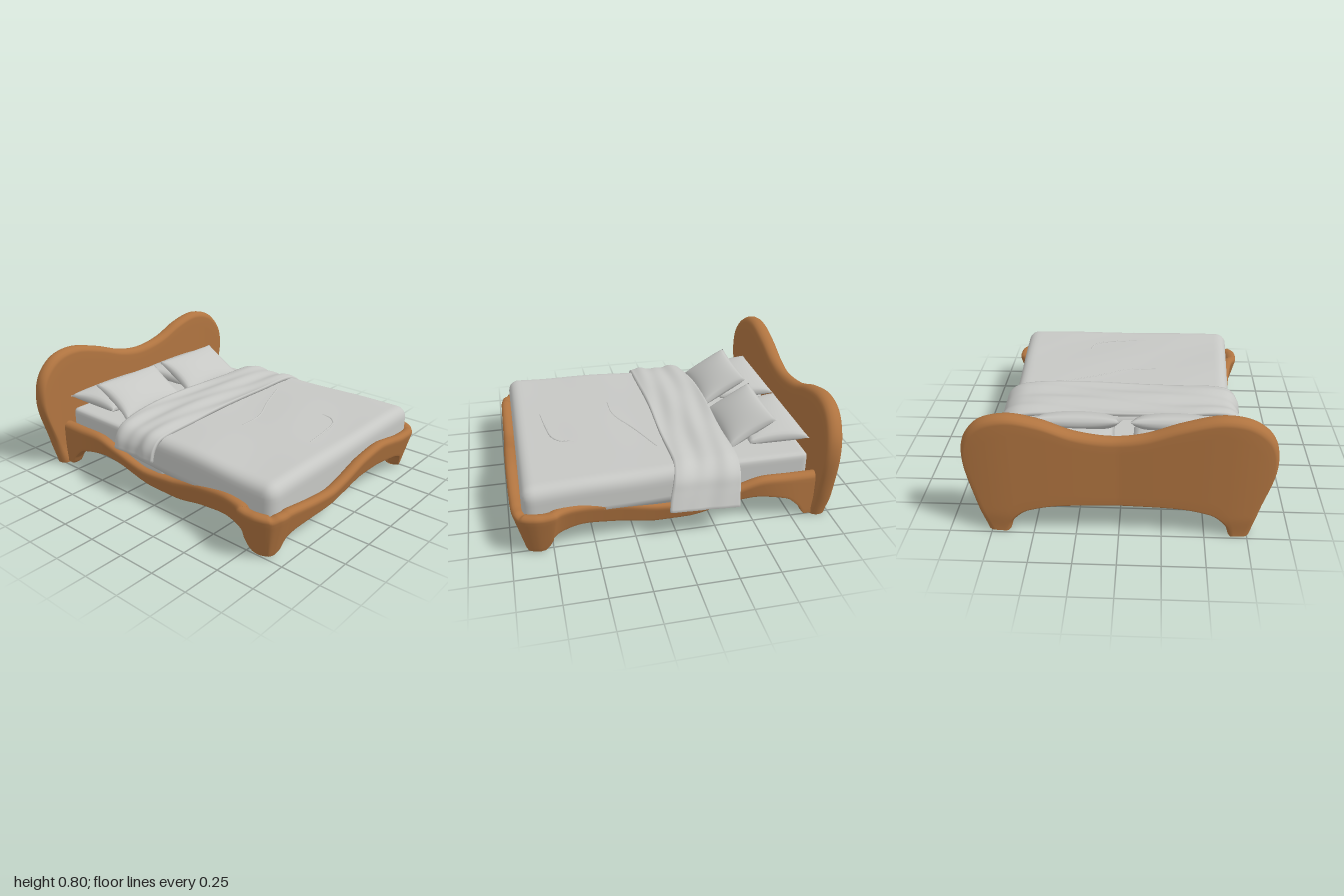
import * as THREE from 'three';
import { mergeVertices } from 'three/addons/utils/BufferGeometryUtils.js';

const V = (x, y, z) => new THREE.Vector3(x, y, z);
const { smoothstep } = THREE.MathUtils;

// Curve through [x, y] pairs, sampled evenly per key so that paired curves stay in step
const curve = (keys) => new THREE.CatmullRomCurve3(keys.map(([x, y]) => V(x, y, 0)));

// Closed cross-section from point p to point q, half-thickness h along n, rounded ends of depth ep and eq
function slabRing(p, q, n, h, ep, eq) {
  const up = q.clone().sub(p).normalize();
  const at = (base, along, across) => base.clone().addScaledVector(up, along).addScaledVector(n, across);
  const lo = at(p, ep, 0), hi = at(q, -eq, 0), ring = [];
  const side = 8, arc = 8;
  for (let i = 0; i < side; i++) ring.push(at(lo.clone().lerp(hi, i / side), 0, h));
  for (let i = 0; i < arc; i++) {
    const a = Math.PI * i / arc;
    ring.push(at(hi, eq * Math.sin(a), h * Math.cos(a)));
  }
  for (let i = 0; i < side; i++) ring.push(at(hi.clone().lerp(lo, i / side), 0, -h));
  for (let i = 0; i < arc; i++) {
    const a = Math.PI * i / arc;
    ring.push(at(lo, -ep * Math.sin(a), -h * Math.cos(a)));
  }
  return ring;
}

// Skin a row of rings and close both ends
function loft(rings) {
  const m = rings[0].length, pts = rings.flat(), index = [];
  for (let s = 0; s < rings.length - 1; s++) {
    for (let i = 0; i < m; i++) {
      const j = (i + 1) % m, a = s * m + i, b = s * m + j;
      index.push(a, b, a + m, b, b + m, a + m);
    }
  }
  [rings[0], rings[rings.length - 1]].forEach((ring, end) => {
    const start = pts.length;
    const c = ring.reduce((sum, p) => sum.add(p), V(0, 0, 0)).divideScalar(m);
    pts.push(...ring, c);
    for (let i = 0; i < m; i++) {
      const a = start + i, b = start + (i + 1) % m;
      index.push(start + m, end ? a : b, end ? b : a);
    }
  });
  const g = new THREE.BufferGeometry().setFromPoints(pts);
  g.setIndex(index);
  g.computeVertexNormals();
  return g;
}

// Subdivided box whose vertices are moved by a rule, welded smooth
function shapedBox(size, segs, rule) {
  const g = new THREE.BoxGeometry(...size, ...segs);
  g.deleteAttribute('normal');
  g.deleteAttribute('uv');
  const pos = g.attributes.position, p = V(0, 0, 0);
  for (let i = 0; i < pos.count; i++) {
    p.fromBufferAttribute(pos, i);
    rule(p);
    pos.setXYZ(i, p.x, p.y, p.z);
  }
  const welded = mergeVertices(g, 1e-5);
  welded.computeVertexNormals();
  return welded;
}

// Box with rounded edges of radius r, then an extra rule
function softBox(w, h, d, r, rule) {
  const lim = V(w / 2 - r, h / 2 - r, d / 2 - r);
  return shapedBox([w, h, d], [64, 16, 64], (p) => {
    const core = p.clone().clamp(lim.clone().negate(), lim);
    p.sub(core).normalize().multiplyScalar(r).add(core);
    rule(p);
  });
}

function headboardGeometry() {
  const top = curve([[-.77, 0], [-.82, .2], [-.895, .48], [-.86, .66], [-.74, .77], [-.58, .8], [-.36, .75], [-.15, .675],
    [.03, .65], [.25, .68], [.45, .755], [.63, .785], [.78, .74], [.87, .63], [.893, .5], [.84, .22], [.78, 0]]);
  const half = [[-.64, 0], [-.62, .06], [-.58, .11], [-.54, .14], [-.48, .16], [-.38, .18], [-.26, .188], [-.12, .19]];
  const arch = curve([...half, [0, .19], ...half.map(([x, y]) => [-x, y]).reverse()]);
  // the board bows gently, thicker and curling forward at its ends
  const bend = (p) => {
    const k = Math.abs(p.x), swell = Math.sin(Math.min(k / .6, 1) * Math.PI / 2);
    p.z *= 1 + .2 * swell;
    p.z += -.942 - .007 * swell + .03 * Math.max(0, (k - .6) / .3) ** 2 + .012 * (1 - smoothstep(p.y, 0, .15));
    return p;
  };
  const rings = [];
  for (let i = 0; i <= 128; i++) {
    const t = i / 128;
    rings.push(slabRing(arch.getPoint(t), top.getPoint(t), V(0, 0, -1), .043, .025, .042).map(bend));
  }
  return loft(rings);
}

function frameGeometry() {
  // [x, z, top, bottom] along the outer edge: side rail into front leg
  const rail = [[.745, -.93, .3, 0], [.745, -.84, .3, 0], [.745, -.8, .3, .06], [.745, -.72, .3, .13], [.745, -.55, .3, .16],
    [.74, -.38, .25, .145], [.725, -.1, .18, .065], [.724, .1, .195, .057], [.75, .35, .26, .11], [.785, .58, .3, .145],
    [.81, .69, .3, .12], [.838, .73, .3, .09], [.846, .8, .295, .01], [.84, .86, .295, 0], [.805, .935, .29, 0],
    [.745, .975, .29, 0], [.695, .986, .29, .02], [.65, .99, .295, .1]];
  // wavy footboard
  const foot = [[.57, .994, .305, .142], [.47, .996, .325, .16], [.3, .998, .35, .182], [.1, .998, .33, .19],
    [-.1, .997, .275, .165], [-.25, .995, .25, .14], [-.42, .994, .265, .135], [-.56, .992, .285, .125]];
  const shift = .016;
  const keys = [...rail.map(([x, ...k]) => [x + shift, ...k]), ...foot,
    ...rail.map(([x, ...k]) => [shift - x, ...k]).reverse()];
  const plan = curve(keys.map(([x, z]) => [x, z]));
  const edge = curve(keys.map(([, , a, b]) => [a, b]));
  const rings = [], h = .039;
  for (let i = 0; i <= 280; i++) {
    const t = i / 280, c = plan.getPoint(t), d = plan.getTangent(t), e = edge.getPoint(t);
    const n = V(d.y, 0, -d.x), bottom = Math.max(0, e.y);
    const lean = .26 * smoothstep(c.y, -.8, -.3); // sides lean in as they go down, upright at the headboard
    const q = V(c.x, e.x, c.y).addScaledVector(n, -h);
    const p = V(c.x, bottom, c.y).addScaledVector(n, -h - lean * (e.x - bottom));
    rings.push(slabRing(p, q, n, h, .01, .035));
  }
  return loft(rings);
}

// Pillow with pinched corners, narrowing towards its front edge by the share taper
function pillowGeometry(w, t, d, taper) {
  return shapedBox([2, 2, 2], [28, 1, 28], (p) => {
    const { x: u, z: v } = p;
    const puff = Math.pow(Math.max(0, (1 - u * u) * (1 - v * v)), .42);
    p.set(w / 2 * u * (1 - .07 * (1 - v * v)) * (1 - taper * (v + 1) / 2), Math.sign(p.y) * t / 2 * puff,
      d / 2 * v * (1 - .05 * (1 - u * u)));
  });
}

// Throw laid across the bed, hanging low over the left side
function throwGeometry() {
  const profile = curve([[-.75, .3], [-.735, .37], [-.69, .425], [-.6, .448], [-.3, .456], [0, .456], [.3, .456], [.6, .452],
    [.7, .432], [.77, .38], [.8, .31], [.84, .2]]);
  return shapedBox([1, 1, 1], [110, 2, 32], (p) => {
    const t = p.x + .5, b = p.z + .5, off = p.y * .022;
    const c = profile.getPointAt(t), d = profile.getTangentAt(t);
    const drape = smoothstep(t, .8, 1), start = 1 - smoothstep(t, 0, .3);
    const back = -.395 + .06 * start + .025 * drape, front = .06 * drape;
    const wave = .006 * Math.sin(b * 9 + t * 7) + .004 * Math.sin(b * 19 - t * 10);
    const lift = off + wave * (1 - .5 * drape);
    p.set(c.x - d.y * lift, c.y + d.x * lift + .02 * drape * (b - .5), back + (front - back) * b + .006 * Math.sin(t * 12));
  });
}

export function createModel() {
  const wood = new THREE.MeshStandardMaterial({ color: 0xb07440 });
  wood.name = 'warm wood';
  const linen = new THREE.MeshStandardMaterial({ color: 0xc6c7c4 });
  linen.name = 'grey linen';
  const bed = new THREE.Group();
  bed.name = 'bed';
  const add = (name, geometry, material, x = 0, y = 0, z = 0) => {
    const mesh = new THREE.Mesh(geometry, material);
    mesh.name = name;
    mesh.position.set(x, y, z);
    bed.add(mesh);
    return mesh;
  };

  add('headboard', headboardGeometry(), wood);
  add('frame', frameGeometry(), wood);

  // Mattress, and a duvet that widens towards the foot; both flat underneath
  add('mattress', softBox(1.34, .28, .87, .03, (p) => {
    p.y = Math.max(p.y, -.078);
  }), linen, .005, .26, -.43);
  add('duvet', softBox(1.47, .4, 1.29, .075, (p) => {
    p.x *= 1 + .045 * p.z / .645;
    if (p.y > 0) p.y += .004 * Math.sin(p.z * 9 + p.x * 3) * Math.sin(p.x * 4 + 1);
    p.y = Math.max(p.y, -.06);
    p.x *= 1 - 1.1 * Math.max(0, -p.y); // tucked in below the rails
  }), linen, .025, .24, .272);

  // Creases in the duvet
  const creases = [[[-.12, .73], [.05, .71], [.2, .68], [.26, .63], [.28, .55]], [[-.2, .26], [-.02, .25], [.2, .15], [.45, .05]]];
  for (const line of creases) {
    const path = new THREE.CatmullRomCurve3(line.map(([x, z]) => V(x, .436, z)));
    add('crease', new THREE.TubeGeometry(path, 32, .006, 8), linen);
  }
  add('throw', throwGeometry(), linen);

  // Two pillows lying flat, two leaning on them
  for (const [x, w] of [[-.34, .65], [.305, .64]]) {
    add('backPillow', pillowGeometry(w, .13, .37, .18), linen, x, .465, -.7).rotation.x = .08;
  }
  for (const x of [-.322, .272]) {
    add('frontPillow', pillowGeometry(.54, .12, .34, 0), linen, x, .5, -.545).rotation.x = .53;
  }
  return bed;
}
